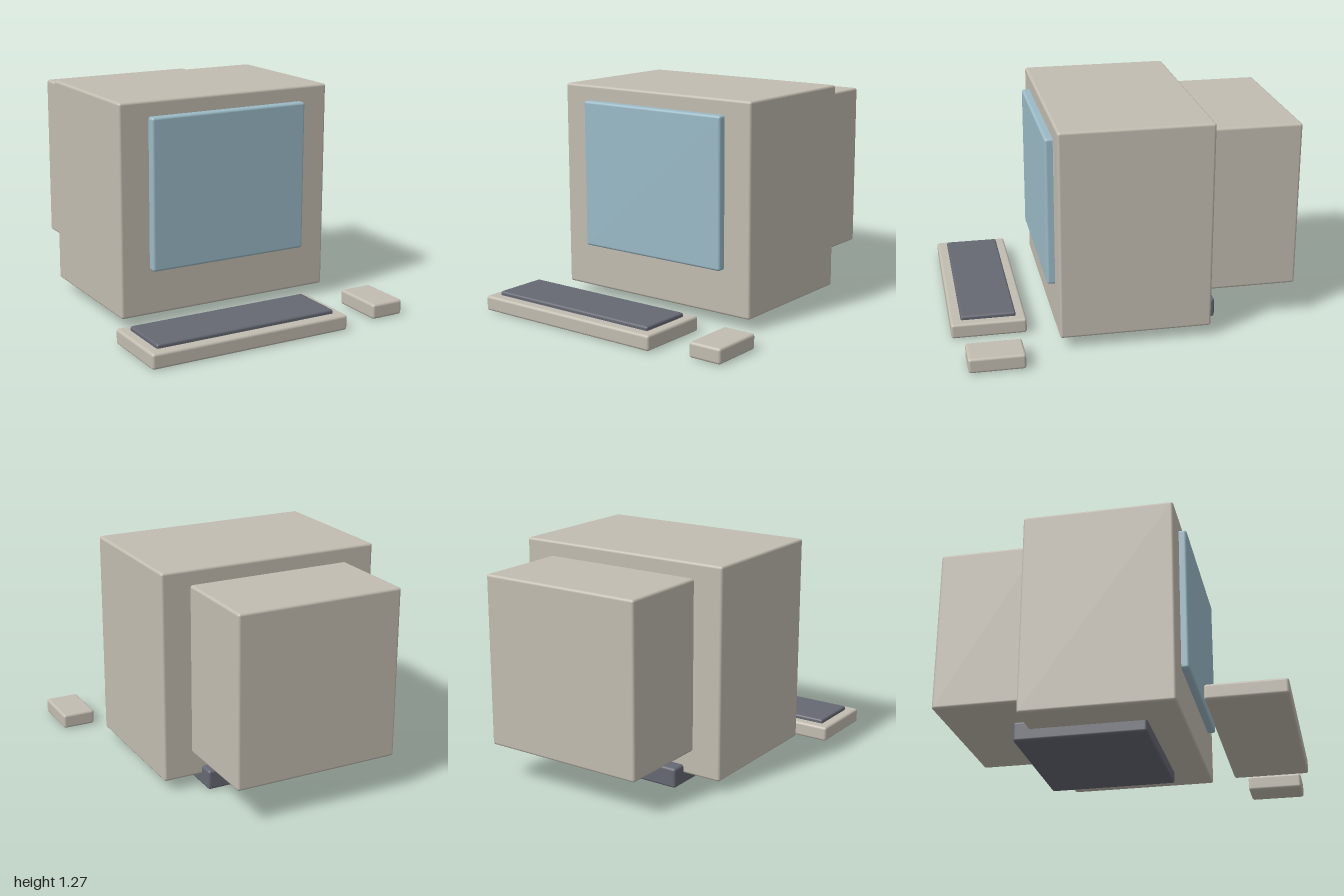
import * as THREE from 'three';
import { RoundedBoxGeometry } from 'three/addons/geometries/RoundedBoxGeometry.js';

function material(name, color) {
  const m = new THREE.MeshStandardMaterial({ color });
  m.name = name;
  return m;
}

export function createModel() {
  const model = new THREE.Group();
  model.name = 'desktopComputer';

  const beige = material('beige plastic', 0xc2bcb0);
  const blue = material('screen blue', 0x9abac6);
  const grey = material('dark grey', 0x656872);

  // Softly bevelled block given by its extents on each axis
  function block(name, mat, [x0, x1], [y0, y1], [z0, z1], radius = 0.015) {
    const geometry = new RoundedBoxGeometry(x1 - x0, y1 - y0, z1 - z0, 3, radius);
    const mesh = new THREE.Mesh(geometry, mat);
    mesh.position.set((x0 + x1) / 2, (y0 + y1) / 2, (z0 + z1) / 2);
    mesh.name = name;
    model.add(mesh);
  }

  // Monitor: main case, rear tube housing, raised screen and foot
  block('monitorCase', beige, [-0.7, 0.62], [0.065, 1.27], [-0.455, 0.41]);
  block('tubeHousing', beige, [-0.525, 0.45], [0.207, 1.183], [-1, -0.4]);
  block('screen', blue, [-0.525, 0.45], [0.323, 1.183], [0.36, 0.455]);
  block('monitorFoot', grey, [-0.465, 0.39], [0, 0.115], [-0.54, 0.21]);

  // Keyboard: tray with a raised key area
  block('keyboardTray', beige, [-0.813, 0.39], [0.003, 0.09], [0.568, 1]);
  block('keyArea', grey, [-0.757, 0.335], [0.06, 0.113], [0.625, 0.94], 0.012);

  // Mouse
  block('mouse', beige, [0.61, 0.81], [0.003, 0.09], [0.625, 0.94]);

  return model;
}
